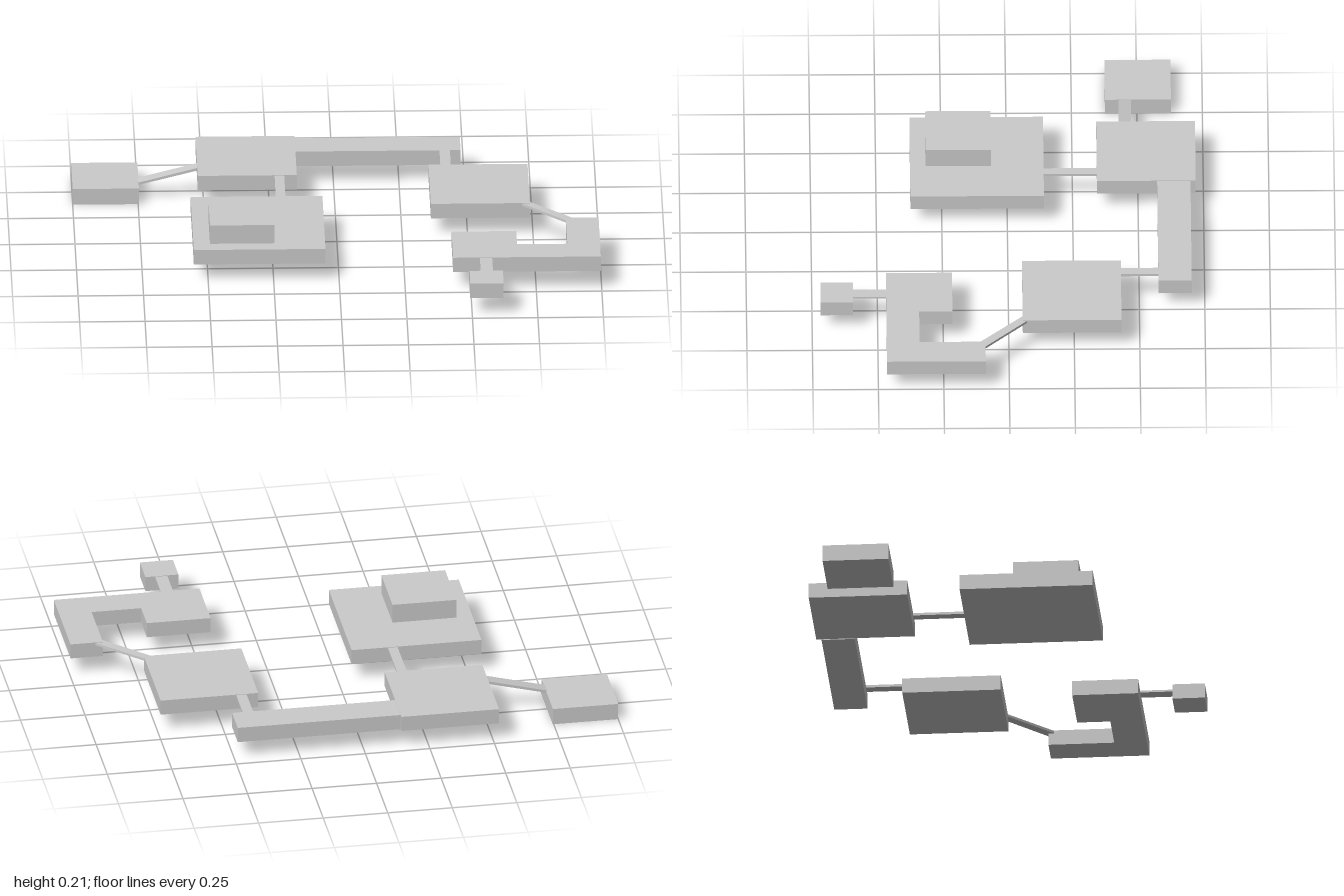
import * as THREE from 'three';

const TOP = 0.13, BOTTOM = 0.07;

export function createModel() {
  const model = new THREE.Group();
  const material = new THREE.MeshStandardMaterial({ color: 0xcccccc, flatShading: true });

  const add = (name, geometry) => {
    const mesh = new THREE.Mesh(geometry, material);
    mesh.name = name;
    model.add(mesh);
    return mesh;
  };

  // Box given by its limits on each axis
  const block = (name, x0, x1, z0, z1, y0 = BOTTOM, y1 = TOP) =>
    add(name, new THREE.BoxGeometry(x1 - x0, y1 - y0, z1 - z0))
      .position.set((x0 + x1) / 2, (y0 + y1) / 2, (z0 + z1) / 2);

  // Plan outline in x, z raised between two heights
  const slab = (name, outline, y0, y1) => {
    const shape = new THREE.Shape(outline.map(([x, z]) => new THREE.Vector2(x, -z)));
    const geometry = new THREE.ExtrudeGeometry(shape, { depth: y1 - y0, bevelEnabled: false });
    add(name, geometry.rotateX(-Math.PI / 2).translate(0, y0, 0));
  };

  // Room platforms
  block('lowPlatform', -1, -0.747, -0.63, -0.378, 0, 0.065);
  block('backPlatform', -0.523, -0.145, -0.72, -0.343);
  block('corridor', -0.145, 0.486, -0.7, -0.573, 0.067, 0.128);
  block('largePlatform', -0.555, -0.052, -0.14, 0.37);
  block('raisedBlock', -0.492, -0.245, 0.06, 0.311, TOP, 0.206);
  block('rightPlatform', 0.36, 0.738, -0.43, -0.053);
  block('smallPlatform', 0.492, 0.62, 0.594, 0.718);

  // Hooked platform
  slab('hookedPlatform', [
    [0.433, 0.215], [0.68, 0.215], [0.68, 0.342], [0.872, 0.342],
    [0.872, 0.09], [0.997, 0.09], [0.997, 0.467], [0.433, 0.467],
  ], BOTTOM, TOP);

  // Thin level bridges
  block('backBridge', -0.23, -0.193, -0.343, -0.14, 0.118, 0.128);
  block('corridorBridge', 0.405, 0.445, -0.573, -0.43, 0.118, 0.128);
  block('smallBridge', 0.535, 0.582, 0.467, 0.594, 0.12, 0.128);
  slab('diagonalBridge', [
    [0.738, -0.07], [0.9, 0.09], [0.872, 0.112], [0.708, -0.053],
  ], 0.118, 0.128);

  // Sloping ramp down to the low platform
  const ramp = new THREE.Shape([
    new THREE.Vector2(-0.75, 0.057), new THREE.Vector2(-0.523, 0.115),
    new THREE.Vector2(-0.523, 0.126), new THREE.Vector2(-0.75, 0.067),
  ]);
  add('ramp', new THREE.ExtrudeGeometry(ramp, { depth: 0.048, bevelEnabled: false }))
    .position.z = -0.477;

  return model;
}
